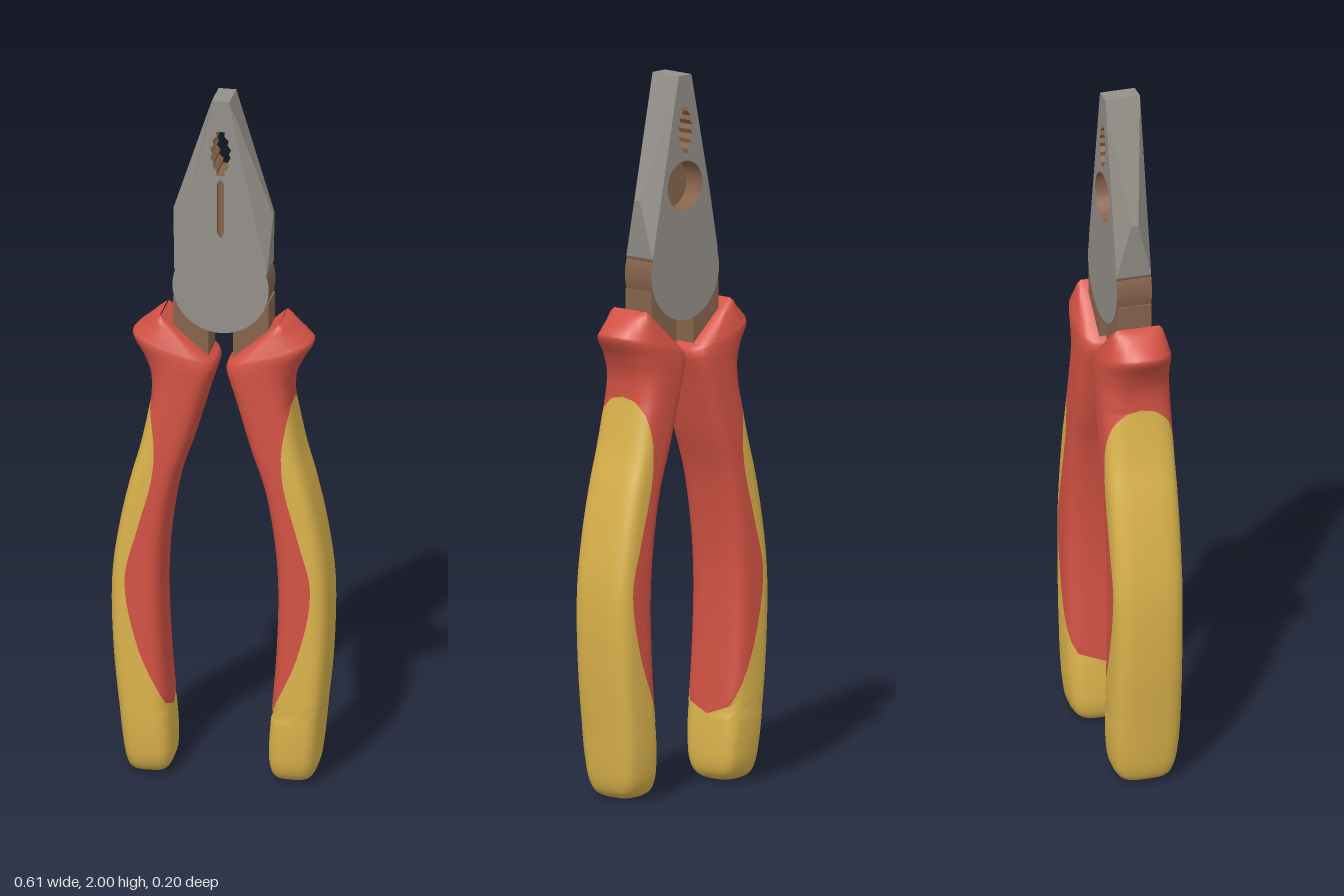
import * as THREE from 'three';
import { mergeVertices } from 'three/addons/utils/BufferGeometryUtils.js';
import { ConvexGeometry } from 'three/addons/geometries/ConvexGeometry.js';

const mat = (name, color) => new THREE.MeshStandardMaterial({ name, color });

// Grip stations, bottom to top:
// inner x, y, outer x, y, half depth, start of the outer pad (0 inner edge .. 1 none), outer roundness
const GRIP = [
  [.20, 0, .20, 0, .005, 0, .55],
  [.165, .005, .235, .005, .045, 0, .55],
  [.145, .02, .256, .02, .072, 0, .55],
  [.135, .05, .267, .05, .087, 0, .55],
  [.134, .11, .276, .11, .096, 0, .55],
  [.14, .19, .284, .19, .1, 0, .55],
  [.155, .38, .302, .38, .1, .45, .55],
  [.16, .58, .305, .58, .1, .69, .55],
  [.148, .73, .285, .73, .1, .57, .55],
  [.122, .87, .254, .87, .1, .5, .55],
  [.085, .98, .226, .97, .1, .66, .55],
  [.055, 1.08, .205, 1.07, .1, .9, .6],
  [.04, 1.13, .197, 1.12, .1, 1, .65],
  [.02, 1.19, .2, 1.18, .1, 1, .75],
  [.014, 1.21, .222, 1.235, .1, 1, .85],
  [.016, 1.228, .254, 1.292, .098, 1, .9],
  [.03, 1.243, .243, 1.308, .094, 1, .9],
  [.09, 1.295, .212, 1.333, .083, 1, .85],
  [.14, 1.338, .186, 1.352, .073, 1, .8],
  [.166, 1.358, .168, 1.36, .062, 1, .8],
];

function gripGeometry() {
  const curve = (...k) => new THREE.CatmullRomCurve3(
    GRIP.map((s) => new THREE.Vector3(...k.map((i) => s[i]))), false, 'centripetal');
  const inner = curve(0, 1, 4), outer = curve(2, 3, 4);
  const rows = (GRIP.length - 1) * 6, pad = 20, cols = 44;
  const pos = [], yellow = [], red = [];
  for (let i = 0; i <= rows; i++) {
    const a = inner.getPoint(i / rows), b = outer.getPoint(i / rows);
    const k = Math.min(Math.floor(i / 6), GRIP.length - 2), f = i / 6 - k;
    const mix = (n) => THREE.MathUtils.lerp(GRIP[k][n], GRIP[k + 1][n], f);
    const round = mix(6);
    // smooth the pad edge between stations
    const t = (n) => GRIP[THREE.MathUtils.clamp(n, 0, GRIP.length - 1)][5];
    const m0 = (t(k + 1) - t(k - 1)) / 2, m1 = (t(k + 2) - t(k)) / 2;
    const f2 = f * f, f3 = f2 * f;
    const edge = (2 * f3 - 3 * f2 + 1) * t(k) + (f3 - 2 * f2 + f) * m0 + (3 * f2 - 2 * f3) * t(k + 1) + (f3 - f2) * m1;
    const c = THREE.MathUtils.clamp(2 * edge - 1, -1, 1);
    const half = Math.acos(Math.sign(c) * Math.abs(c) ** (1 / (c < 0 ? .55 : round)));
    for (let j = 0; j < cols; j++) {
      const th = j <= pad ? -half + 2 * half * j / pad
        : half + (2 * Math.PI - 2 * half) * (j - pad) / (cols - pad);
      const cs = Math.cos(th), sn = Math.sin(th), p = cs < 0 ? .55 : round;
      const w = (1 + Math.sign(cs) * Math.abs(cs) ** p) / 2;
      pos.push(a.x + (b.x - a.x) * w, a.y + (b.y - a.y) * w, a.z * Math.sign(sn) * Math.abs(sn) ** p);
    }
  }
  for (let i = 0; i < rows; i++) {
    for (let j = 0; j < cols; j++) {
      const n = (j + 1) % cols, a = i * cols + j, c = i * cols + n;
      (j < pad ? yellow : red).push(a, a + cols, c, c, a + cols, c + cols);
    }
  }
  let geo = new THREE.BufferGeometry();
  geo.setAttribute('position', new THREE.Float32BufferAttribute(pos, 3));
  geo.setIndex([...yellow, ...red]);
  geo = mergeVertices(geo, 1e-5);
  geo.clearGroups();
  geo.addGroup(0, yellow.length, 0);
  geo.addGroup(yellow.length, red.length, 1);
  geo.computeVertexNormals();
  return geo;
}

export function createModel() {
  const steel = mat('steel', 0x938f89);
  const bare = mat('brownSteel', 0x86644c);
  const red = mat('redGrip', 0xd35244);
  const yellow = mat('yellowPad', 0xdbb34c);
  const group = new THREE.Group();
  const add = (name, geo, material, x = 0, y = 0, z = 0) => {
    const m = new THREE.Mesh(geo, material);
    m.name = name;
    m.position.set(x, y, z);
    group.add(m);
    return m;
  };
  const path = (pts) => new THREE.Path(pts.map(([x, y]) => new THREE.Vector2(x, y)));

  // Toothed opening between the jaws
  const side = [];
  for (let i = 0; i <= 10; i++) {
    const y = 1.78 + .013 * i;
    const bulge = .012 + .018 * Math.sin(Math.PI * i / 10);
    side.push([bulge - (i % 2 ? .007 : 0), y]);
  }
  const teeth = () => path([...side, ...side.map(([x, y]) => [-x, y]).reverse()]);

  // Flat middle of the jaws, in a front and a back layer
  const layer = (name, z0, z1, hole) => {
    const shape = new THREE.Shape([[-.13, 1.5], [-.11, 1.42], [.11, 1.42], [.13, 1.5], [.025, 1.997], [-.025, 1.997]]
      .map(([x, y]) => new THREE.Vector2(x, y)));
    shape.holes.push(teeth(), hole);
    const geo = new THREE.ExtrudeGeometry(shape, { depth: z1 - z0, bevelEnabled: false, curveSegments: 24 });
    add(name, geo, [steel, bare], 0, 0, z0);
  };
  layer('jawFront', .02, .05, path([[0, 1.595], [.01, 1.61], [.01, 1.755], [0, 1.77], [-.01, 1.755], [-.01, 1.61]]));
  const pocket = new THREE.Path();
  pocket.absarc(0, 1.69, .07, 0, Math.PI * 2, true);
  layer('jawBack', -.05, .02, pocket);
  add('pocketFloor', new THREE.CylinderGeometry(.088, .088, .013, 32).rotateX(Math.PI / 2), bare, 0, 1.69, .0185);
  add('jawTip', new THREE.BoxGeometry(.05, .006, .1), steel, 0, 1.997, 0);

  // Pivot disc with bare edge
  add('pivotDisc', new THREE.CylinderGeometry(.135, .135, .101, 48).rotateX(Math.PI / 2), [bare, steel, steel], 0, 1.45, 0);

  const grip = gripGeometry();
  for (const s of [1, -1]) {
    const label = s > 0 ? 'left' : 'right';
    // Faceted outer flank of the jaw
    const pts = [];
    for (const d of [1, -1]) {
      pts.push(new THREE.Vector3(s * .025, 2, d * .05), new THREE.Vector3(s * .14, 1.66, d * .01),
        new THREE.Vector3(s * .13, 1.5, d * .05));
    }
    add(label + 'JawFlank', new ConvexGeometry(pts), steel);
    // Shank running into the grip
    add(label + 'Shank', new THREE.BoxGeometry(.1, .25, .098), bare, s * .084, 1.285, 0);
    // Grip with outer pad; the far side is the same part turned round
    add(label + 'Grip', grip, [yellow, red]).rotation.y = s > 0 ? 0 : Math.PI;
  }
  return group;
}
